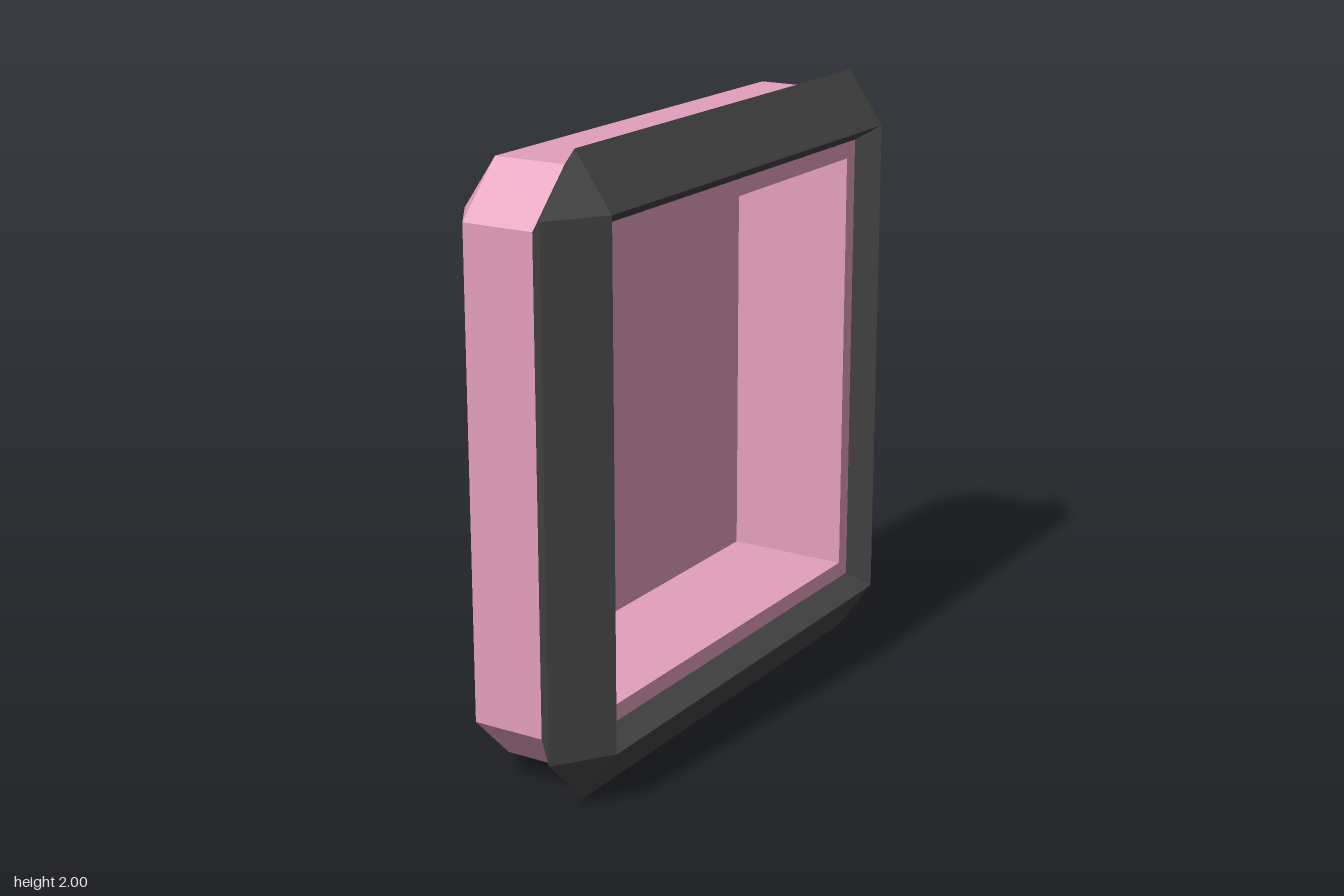
import * as THREE from 'three';

// Eight points of a square with half-size h whose corners are cut back to c (c = h is a plain square)
function ring([x, h, c]) {
  return [[h, -c], [h, c], [c, h], [-c, h], [-h, c], [-h, -c], [-c, -h], [c, -h]]
    .map(([y, z]) => new THREE.Vector3(x, y + 1, z));
}

// Skin a list of cross-sections [x, halfSize, cornerStart] with flat facets
function loft(name, sections, color) {
  const rings = sections.map(ring);
  const pos = [];
  const addTriangle = (a, b, c) => {
    const t = new THREE.Triangle(a, b, c);
    if (t.getArea() > 1e-7) for (const p of [a, b, c]) pos.push(p.x, p.y, p.z);
  };
  for (let i = 0; i < rings.length - 1; i++) {
    for (let j = 0; j < 8; j++) {
      const k = (j + 1) % 8;
      const [a, b, c, d] = [rings[i][j], rings[i][k], rings[i + 1][k], rings[i + 1][j]];
      addTriangle(a, b, c);
      addTriangle(a, c, d);
    }
  }
  const geometry = new THREE.BufferGeometry();
  geometry.setAttribute('position', new THREE.Float32BufferAttribute(pos, 3));
  geometry.computeVertexNormals();
  const mesh = new THREE.Mesh(geometry, new THREE.MeshStandardMaterial({ color, flatShading: true }));
  mesh.name = name;
  return mesh;
}

export function createModel() {
  const model = new THREE.Group();
  model.name = 'framedTray';

  // Hollow tray: back panel, chamfer, side walls, rim, then the recess and its floor
  model.add(loft('trayShell', [
    [-0.274, 0, 0],
    [-0.274, 0.775, 0.775],
    [-0.16, 0.94, 0.775],
    [0.083, 0.94, 0.775],
    [0.2, 0.775, 0.775],
    [0.2, 0.72, 0.72],
    [-0.217, 0.72, 0.72],
    [-0.217, 0, 0],
  ], 0xe39fbc));

  // Bevelled frame around the opening
  model.add(loft('frame', [
    [0.083, 0.94, 0.775],
    [0.15, 1, 0.823],
    [0.274, 0.823, 0.823],
    [0.2, 0.775, 0.775],
  ], 0x444444));

  return model;
}
